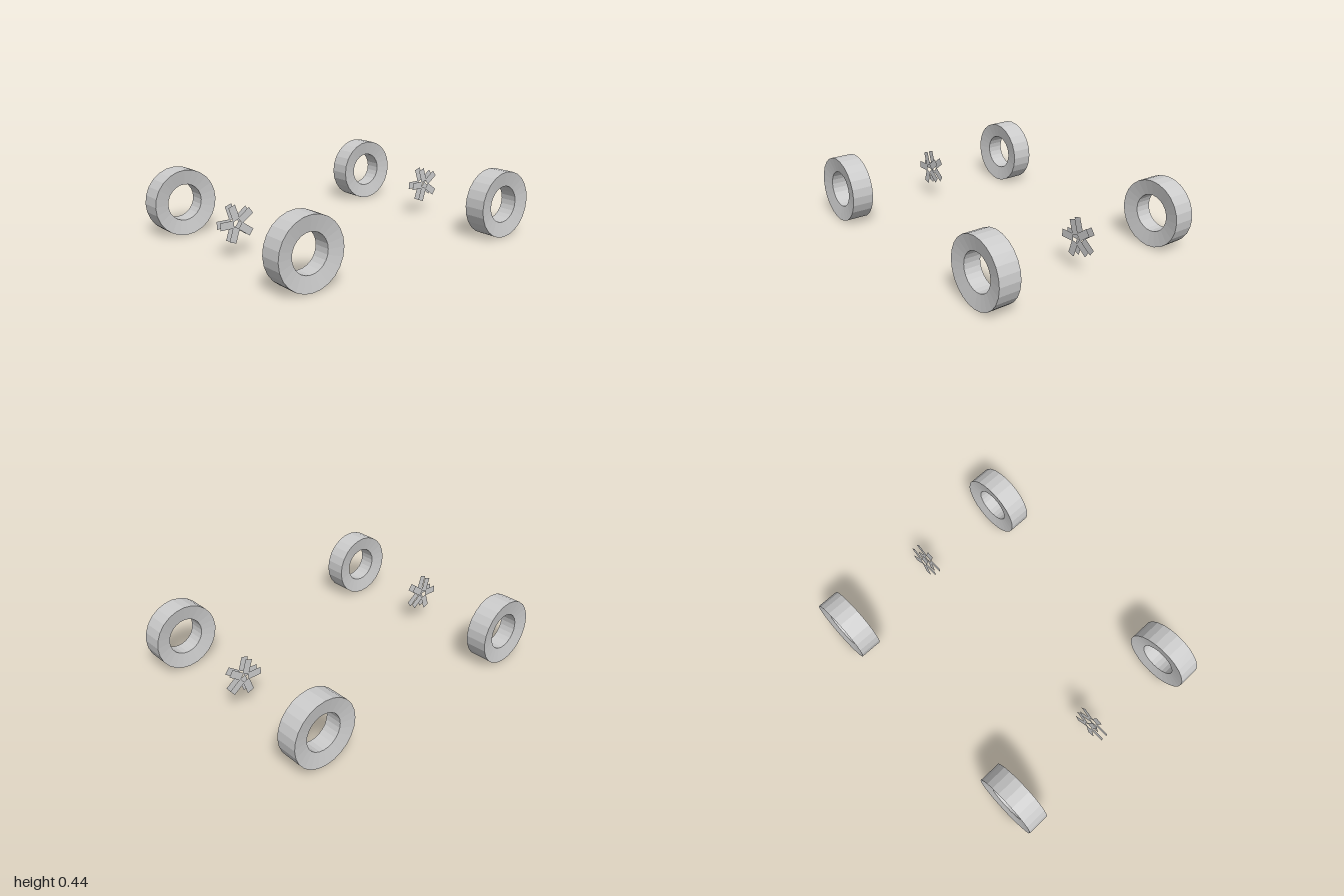
import * as THREE from 'three';

const WHEEL_X = 0.674, WHEEL_Z = 0.7825, RADIUS = 0.2175, HOLE = 0.12;
const HALF_WIDTH = 0.072, DISH = 0.017, SIDES = 24;
const SPOKES = 5, SPOKE_WIDTH = 0.048, SPOKE_START = 0.024, SPOKE_END = 0.118, LAYER_X = 0.02;

// Faceted ring with side faces dished in toward the hole, axle along x
function tyreGeometry() {
  const h = HALF_WIDTH, d = HALF_WIDTH - DISH;
  const profile = [[RADIUS, -h], [RADIUS, h], [HOLE, d], [HOLE, -d], [RADIUS, -h]]
    .map(([r, y]) => new THREE.Vector2(r, y));
  return new THREE.LatheGeometry(profile, SIDES).rotateZ(Math.PI / 2);
}

// Flat strip in the yz plane running outward along +z
function spokeGeometry() {
  const length = SPOKE_END - SPOKE_START;
  return new THREE.PlaneGeometry(length, SPOKE_WIDTH)
    .translate(SPOKE_START + length / 2, 0, 0)
    .rotateY(-Math.PI / 2);
}

export function createModel() {
  const model = new THREE.Group();
  model.name = 'wheelSet';
  const tyreMaterial = new THREE.MeshStandardMaterial({ color: 0xcccccc, flatShading: true });
  const spokeMaterial = new THREE.MeshStandardMaterial({
    color: 0xcccccc, flatShading: true, side: THREE.DoubleSide,
  });
  const tyre = tyreGeometry();
  const spoke = spokeGeometry();

  for (const z of [WHEEL_Z, -WHEEL_Z]) {
    const end = z > 0 ? 'front' : 'rear';

    // Left and right tyres
    for (const side of [1, -1]) {
      const mesh = new THREE.Mesh(tyre, tyreMaterial);
      mesh.name = end + (side > 0 ? 'Left' : 'Right') + 'Tyre';
      mesh.position.set(side * WHEEL_X, RADIUS, z);
      model.add(mesh);
    }

    // Two parallel layers of thin spokes on the centre line of each axle
    for (const side of [1, -1]) {
      const star = new THREE.Group();
      star.name = end + (side > 0 ? 'Left' : 'Right') + 'Spokes';
      star.position.set(side * LAYER_X, RADIUS, z);
      for (let i = 0; i < SPOKES; i++) {
        const mesh = new THREE.Mesh(spoke, spokeMaterial);
        mesh.name = 'spoke';
        mesh.rotation.x = (i * 2 * Math.PI) / SPOKES;
        star.add(mesh);
      }
      model.add(star);
    }
  }
  return model;
}
